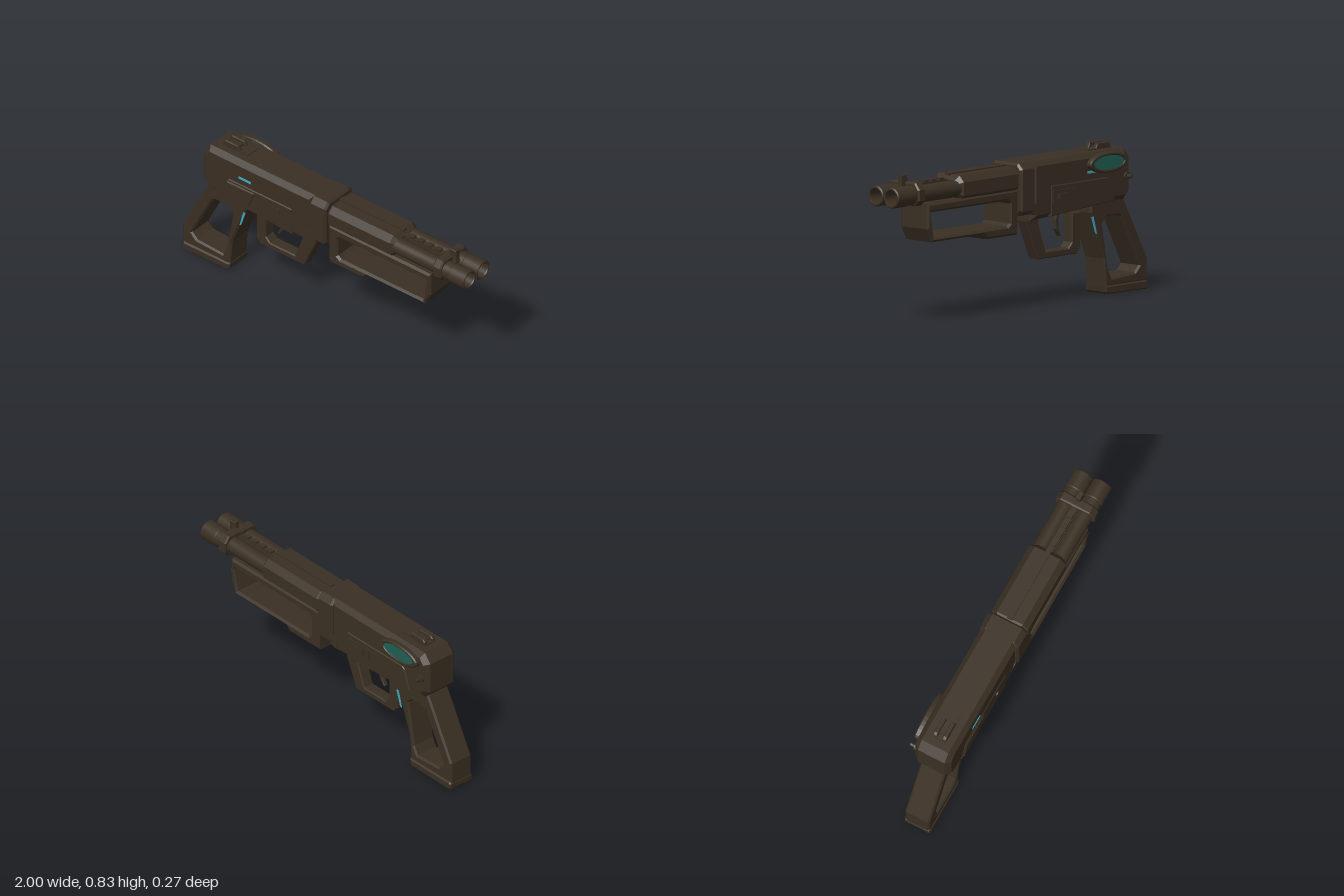
import * as THREE from 'three';

const Z0 = 0.015; // middle plane of the model
const mat = (name, color, side = THREE.FrontSide) => {
  const m = new THREE.MeshStandardMaterial({ color, side });
  m.name = name;
  return m;
};

export function createModel() {
  const group = new THREE.Group();
  const brown = mat('dark brown', 0x3a2f23);
  const teal = mat('deep teal', 0x1f5f54);
  const cyan = mat('glow cyan', 0x3fabc0);

  const add = (name, geo, m = brown) => {
    const mesh = new THREE.Mesh(geo, m);
    mesh.name = name;
    group.add(mesh);
    return mesh;
  };
  const poly = (pts, Type = THREE.Shape) => new Type(pts.map(p => new THREE.Vector2(p[0], p[1])));
  // Chamfered slab of given full thickness, centred on z = 0
  const slab = (pts, width, bevel, holes = []) => {
    const shape = poly(pts);
    holes.forEach(h => shape.holes.push(poly(h, THREE.Path)));
    const g = new THREE.ExtrudeGeometry(shape, {
      depth: width - 2 * bevel, bevelEnabled: bevel > 0, bevelSize: bevel,
      bevelThickness: bevel, bevelOffset: -bevel, bevelSegments: 1, curveSegments: 20,
    });
    return g.translate(0, 0, -width / 2 + bevel);
  };
  // Side outline extruded across the model
  const side = (name, pts, width, bevel, holes, z = Z0, m) =>
    add(name, slab(pts, width, bevel, holes).translate(0, 0, z), m);
  // Half cross-section [z, y], mirrored and extruded along x
  const along = (name, half, x0, x1, bevel) => {
    const pts = [...half, ...half.map(([z, y]) => [-z, y]).reverse()];
    return add(name, slab(pts, x1 - x0, bevel).rotateY(Math.PI / 2).translate((x0 + x1) / 2, 0, Z0));
  };
  const box = (name, x0, x1, y0, y1, z0, z1, m) =>
    add(name, new THREE.BoxGeometry(x1 - x0, y1 - y0, z1 - z0)
      .translate((x0 + x1) / 2, (y0 + y1) / 2, (z0 + z1) / 2), m);
  const crossPin = (name, x, y, r, z0, z1) =>
    add(name, new THREE.CylinderGeometry(r, r, z1 - z0, 16).rotateX(Math.PI / 2)
      .translate(x, y, (z0 + z1) / 2));

  // Receiver and its lower side panel
  side('receiver', [[-0.84, 0.56], [-0.8, 0.515], [-0.69, 0.515], [-0.06, 0.47], [-0.06, 0.798],
    [-0.795, 0.798], [-0.84, 0.745]], 0.22, 0.028);
  side('receiverPanel', [[-0.705, 0.52], [-0.665, 0.64], [-0.645, 0.655], [-0.2, 0.655],
    [-0.2, 0.485]], 0.23, 0.006);
  const ledge = side('thumbLedge', [[-0.69, 0.53], [-0.655, 0.64], [-0.46, 0.64], [-0.5, 0.53]],
    0.03, 0.006, [], 0.122);
  ledge.geometry.computeVertexNormals();

  // Collar joining receiver and barrels, with hinge
  along('collar', [[0.09, 0.51], [0.121, 0.535], [0.121, 0.765], [0.09, 0.798]], -0.075, 0.04, 0.012);
  crossPin('hinge', -0.085, 0.538, 0.033, Z0 - 0.113, Z0 + 0.113);

  // Barrel shroud
  along('barrelShroud', [[0.085, 0.645], [0.113, 0.672], [0.113, 0.745], [0.08, 0.78]], 0.03, 0.51, 0.026);
  box('shroudRib', 0.05, 0.5, 0.775, 0.787, Z0 - 0.015, Z0 + 0.015);

  // Twin barrels with hollow flared muzzles
  const barrelProfile = [[0.047, 0.45], [0.047, 0.84], [0.052, 0.845], [0.052, 0.885], [0.052, 0.888],
    [0.057, 0.893], [0.057, 0.994], [0.052, 1], [0.045, 1], [0.043, 0.994], [0.043, 0.86], [0, 0.86]];
  for (const s of [-1, 1]) {
    // separate rings per profile segment keep the edges crisp
    for (let i = 0; i < barrelProfile.length - 1; i++) {
      const pts = [barrelProfile[i], barrelProfile[i + 1]].map(p => new THREE.Vector2(...p));
      add('barrel', new THREE.LatheGeometry(pts, 28).rotateZ(-Math.PI / 2)
        .translate(0, 0.708, Z0 + s * 0.058));
    }
  }
  along('barrelBand', [[0.09, 0.65], [0.12, 0.68], [0.12, 0.74], [0.09, 0.778]], 0.79, 0.845, 0.008);
  box('barrelBridge', 0.45, 0.87, 0.675, 0.745, Z0 - 0.02, Z0 + 0.02);

  // Vent rib between the barrels
  box('ventRib', 0.5, 0.8, 0.74, 0.757, Z0 - 0.015, Z0 + 0.015);
  for (let i = 0; i < 5; i++) {
    const x = 0.535 + i * 0.062;
    box('ribTooth', x, x + 0.034, 0.755, 0.768, Z0 - 0.015, Z0 + 0.015);
  }

  // Sights
  side('frontSight', [[0.8, 0.75], [0.87, 0.75], [0.87, 0.815], [0.825, 0.815], [0.822, 0.775],
    [0.8, 0.77]], 0.03, 0.003);
  box('sightRail', -0.75, -0.57, 0.79, 0.804, Z0 - 0.04, Z0 + 0.04);
  for (const s of [-1, 1])
    side('rearSight', [[-0.745, 0.795], [-0.625, 0.795], [-0.64, 0.833], [-0.73, 0.833], [-0.745, 0.82]],
      0.024, 0.004, [], Z0 + s * 0.028);
  box('rearSightBase', -0.72, -0.65, 0.8, 0.814, Z0 - 0.02, Z0 + 0.02);

  // Skeleton grip and its base plate
  side('grip', [[-0.81, 0.525], [-1, 0.17], [-1, 0.045], [-0.67, 0.045], [-0.655, 0.2],
    [-0.555, 0.46], [-0.555, 0.53]], 0.15, 0.01,
  [[[-0.79, 0.42], [-0.765, 0.428], [-0.685, 0.43], [-0.648, 0.4], [-0.695, 0.14], [-0.72, 0.09],
    [-0.9, 0.1], [-0.935, 0.135]]]);
  side('gripBase', [[-1, 0.012], [-0.99, 0], [-0.68, 0.004], [-0.67, 0.015], [-0.665, 0.05], [-0.99, 0.05],
    [-1, 0.04]], 0.16, 0.008);

  // Trigger guard, open at the rear top, and trigger
  side('triggerGuard', [[-0.515, 0.47], [-0.515, 0.275], [-0.485, 0.243], [-0.18, 0.243], [-0.085, 0.46],
    [-0.085, 0.5], [-0.185, 0.5], [-0.185, 0.44], [-0.245, 0.28], [-0.42, 0.28], [-0.448, 0.31],
    [-0.448, 0.47]], 0.07, 0.006);
  side('trigger', [[-0.385, 0.51], [-0.365, 0.44], [-0.365, 0.395], [-0.388, 0.35], [-0.375, 0.348],
    [-0.345, 0.39], [-0.342, 0.44], [-0.35, 0.51]], 0.025, 0.003);

  // Pump handle frame with a long slot
  side('pumpFrame', [[0.045, 0.66], [0.045, 0.44], [0.72, 0.44], [0.76, 0.515], [0.76, 0.655]],
    0.21, 0.012,
    [[[0.11, 0.48], [0.11, 0.588], [0.128, 0.605], [0.735, 0.605], [0.745, 0.59], [0.712, 0.465],
      [0.13, 0.465]]]);
  side('pumpBlock', [[0.045, 0.46], [0.045, 0.41], [0.285, 0.41], [0.32, 0.442], [0.32, 0.46]], 0.205, 0.012);

  // Right-side port, safety pins and oval medallion
  box('portFrame', -0.38, -0.21, 0.56, 0.625, -0.107, -0.09);
  box('portLatch', -0.34, -0.25, 0.578, 0.607, -0.113, -0.1);
  crossPin('rearPin', -0.795, 0.645, 0.011, -0.136, -0.09);
  crossPin('rearPinCollar', -0.795, 0.645, 0.022, -0.108, -0.09);
  crossPin('sideButton', -0.3, 0.6, 0.018, 0.12, 0.137);
  const oval = (rx, ry) => Array.from({ length: 32 }, (_, i) => {
    const a = i / 32 * Math.PI * 2;
    return [-0.635 + rx * Math.cos(a), 0.738 + ry * Math.sin(a)];
  });
  side('medallionRim', oval(0.15, 0.057), 0.035, 0.007, [oval(0.115, 0.036)], -0.106);
  side('medallionFace', oval(0.12, 0.041), 0.008, 0, [], -0.115, teal);

  // Glowing strips on receiver and grip
  for (const s of [-1, 1]) {
    side('receiverStrip', [[-0.575, 0.689], [-0.49, 0.689], [-0.49, 0.702], [-0.575, 0.702]],
      0.006, 0, [], Z0 + s * 0.111, cyan);
    side('gripStrip', [[-0.598, 0.343], [-0.588, 0.348], [-0.558, 0.44], [-0.572, 0.44]],
      0.006, 0, [], Z0 + s * 0.075, cyan);
  }
  return group;
}
